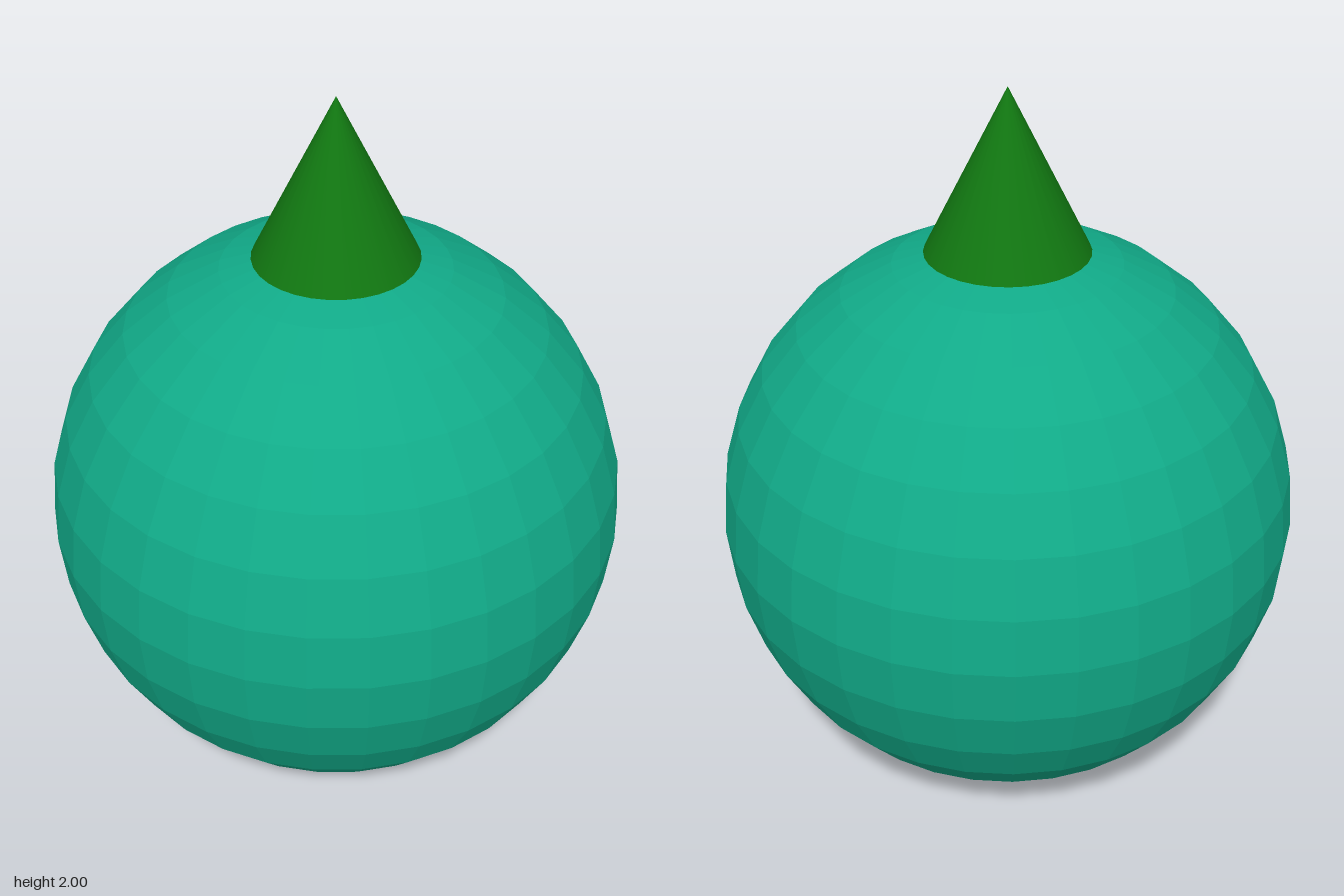
import * as THREE from 'three';

export function createModel() {
  const model = new THREE.Group();
  const teal = new THREE.MeshStandardMaterial({ name: 'teal', color: 0x11aa88 });
  const green = new THREE.MeshStandardMaterial({ name: 'green', color: 0x117711 });

  function add(name, geometry, material, y) {
    const mesh = new THREE.Mesh(geometry, material);
    mesh.name = name;
    mesh.position.y = y;
    model.add(mesh);
  }

  // Faceted ball: unshared corners give every panel its own flat normal
  const radius = 0.795;
  const ball = new THREE.SphereGeometry(radius, 32, 16).toNonIndexed();
  ball.computeVertexNormals();
  add('ball', ball, teal, radius);

  // Smooth cone seated on the crown of the ball, tip at y = 2
  const height = 0.44;
  add('cone', new THREE.ConeGeometry(0.22, height, 32), green, 2 - height / 2);

  return model;
}
